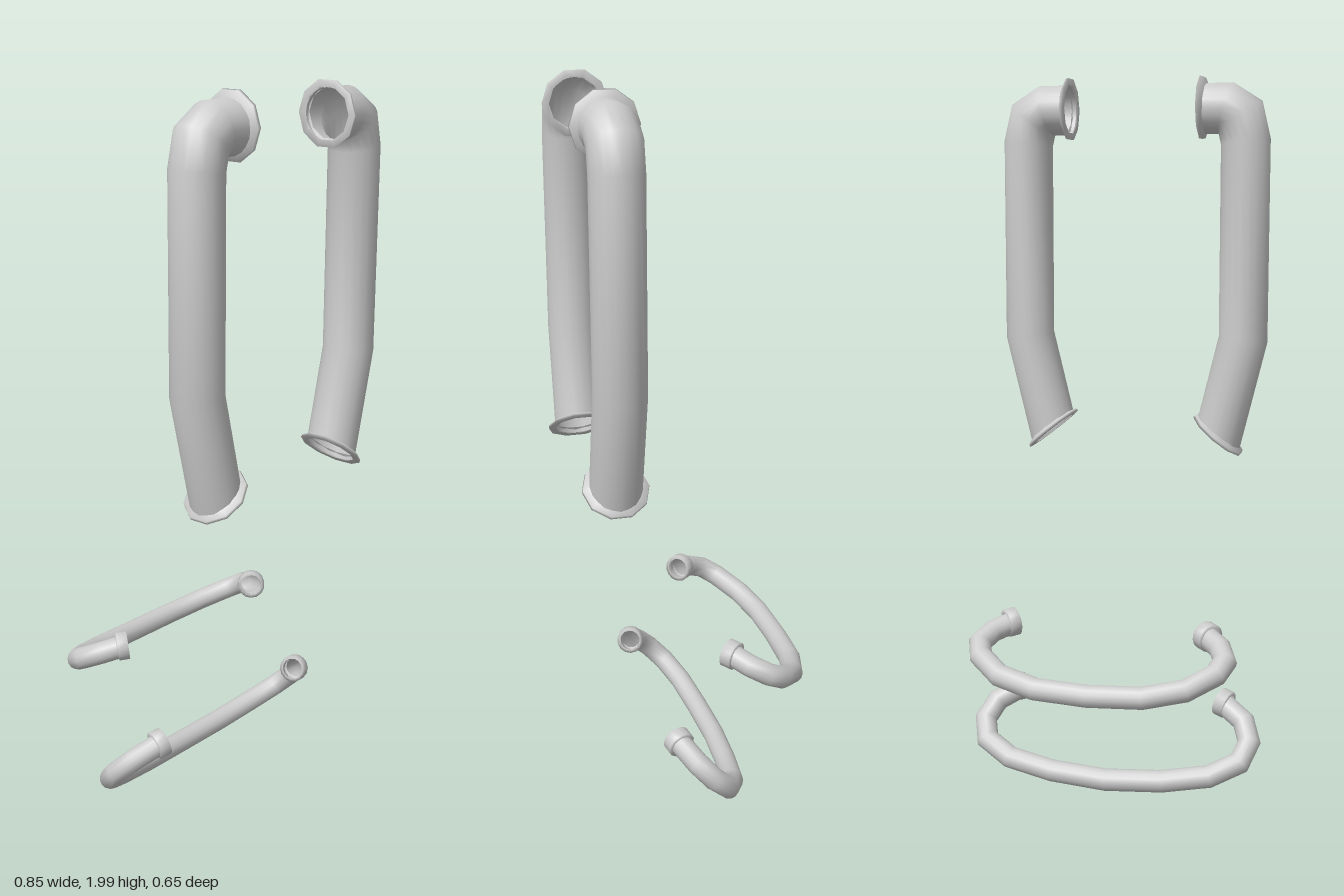
import * as THREE from 'three';

const material = new THREE.MeshStandardMaterial({ color: 0xcccccc, side: THREE.DoubleSide });
const V = (p) => new THREE.Vector3(...p);

// Hollow pipe with mitred bends: a circle slides along each segment to the next mitre plane
function pipe(name, path, radius, sides, startNormal, endNormal) {
  const pts = path.map(V);
  const last = pts.length - 1;
  const dirs = pts.slice(1).map((p, i) => p.clone().sub(pts[i]).normalize());
  const normals = pts.map((p, i) => {
    if (i === 0) return startNormal ? V(startNormal).normalize() : dirs[0];
    if (i === last) return endNormal ? V(endNormal).normalize() : dirs[last - 1];
    return dirs[i - 1].clone().add(dirs[i]).normalize();
  });
  const slide = (q, d, i) =>
    q.clone().addScaledVector(d, pts[i].clone().sub(q).dot(normals[i]) / d.dot(normals[i]));

  const turn = new THREE.Quaternion().setFromUnitVectors(new THREE.Vector3(0, 0, 1), dirs[0]);
  let ring = [];
  for (let j = 0; j <= sides; j++) {
    const a = (j % sides) / sides * Math.PI * 2;
    const q = new THREE.Vector3(Math.cos(a) * radius, Math.sin(a) * radius, 0);
    ring.push(slide(q.applyQuaternion(turn).add(pts[0]), dirs[0], 0));
  }
  const pos = [], nor = [], index = [];
  pts.forEach((p, i) => {
    if (i > 0) ring = ring.map((q) => slide(q, dirs[i - 1], i));
    for (const q of ring) {
      pos.push(...q.toArray());
      const n = q.clone().sub(p);
      const axis = i === 0 ? dirs[0] : i === last ? dirs[last - 1] : normals[i];
      n.addScaledVector(axis, -n.dot(axis)).normalize();
      nor.push(...n.toArray());
    }
  });
  const w = sides + 1;
  for (let i = 0; i < last; i++) {
    for (let j = 0; j < sides; j++) {
      const a = i * w + j, b = a + 1, c = a + w, d = c + 1;
      index.push(a, b, c, b, d, c);
    }
  }
  const geo = new THREE.BufferGeometry();
  geo.setAttribute('position', new THREE.Float32BufferAttribute(pos, 3));
  geo.setAttribute('normal', new THREE.Float32BufferAttribute(nor, 3));
  geo.setIndex(index);
  const mesh = new THREE.Mesh(geo, material);
  mesh.name = name;
  return mesh;
}

// Open ring turned around an axis; the profile lists [radius, distance along axis]
function ringPart(name, centre, axis, profile, sides) {
  const geo = new THREE.LatheGeometry(profile.map(([r, h]) => new THREE.Vector2(r, h)), sides);
  const mesh = new THREE.Mesh(geo, material);
  mesh.name = name;
  mesh.position.set(...centre);
  mesh.quaternion.setFromUnitVectors(new THREE.Vector3(0, 1, 0), V(axis).normalize());
  return mesh;
}

const mirrored = ([x, y, z]) => [-x, y, z];
const flange = [[0.068, -0.012], [0.088, -0.003], [0.09, 0.005], [0.07, 0.005]];
const collar = [[0.03, -0.03], [0.04, -0.028], [0.04, 0.002], [0.031, 0.002]];

// Half paths of the crossbars, from the middle to the left end
const bars = [
  {
    name: 'upperCrossbar', axis: [-0.75, 0.12, 0.66], end: [0.273, 0.472, -0.067],
    half: [[0, 0.35, -0.298], [0.148, 0.355, -0.291], [0.258, 0.374, -0.26], [0.33, 0.406, -0.205],
      [0.347, 0.43, -0.163], [0.325, 0.452, -0.115], [0.278, 0.47, -0.072]],
  },
  {
    name: 'lowerCrossbar', axis: [-0.9, 0.25, 0.3], end: [0.291, 0.232, 0.084],
    half: [[0, 0.04, -0.107], [0.16, 0.048, -0.098], [0.29, 0.068, -0.08], [0.37, 0.103, -0.045],
      [0.39, 0.148, 0], [0.367, 0.192, 0.043], [0.297, 0.23, 0.082]],
  },
];

export function createModel() {
  const model = new THREE.Group();
  model.name = 'pipeSet';

  // Upright pipes with a flange at each end
  const z = 0.235;
  const path = [[0.195, 1.907, z], [0.262, 1.907, z], [0.302, 1.882, z], [0.318, 1.815, z],
    [0.318, 1.262, z], [0.25, 0.985, z]];
  const cut = [-0.63, -0.775, 0];
  for (const [side, flip] of [['left', (p) => p], ['right', mirrored]]) {
    const group = new THREE.Group();
    group.name = side + 'UprightPipe';
    group.add(
      pipe('pipe', path.map(flip), 0.07, 20, null, flip(cut)),
      ringPart('topFlange', flip([0.195, 1.91, z]), flip([-1, 0, 0]), flange, 10),
      ringPart('bottomFlange', flip([0.25, 0.985, z]), flip(cut), flange, 10),
    );
    model.add(group);
  }

  // Curved crossbars with a collar on each end
  for (const { name, axis, end, half } of bars) {
    const group = new THREE.Group();
    group.name = name;
    const full = [...half.slice(1).reverse().map(mirrored), ...half];
    group.add(
      pipe('bar', full, 0.031, 14),
      ringPart('leftCollar', end, axis, collar, 14),
      ringPart('rightCollar', mirrored(end), mirrored(axis), collar, 14),
    );
    model.add(group);
  }
  return model;
}
